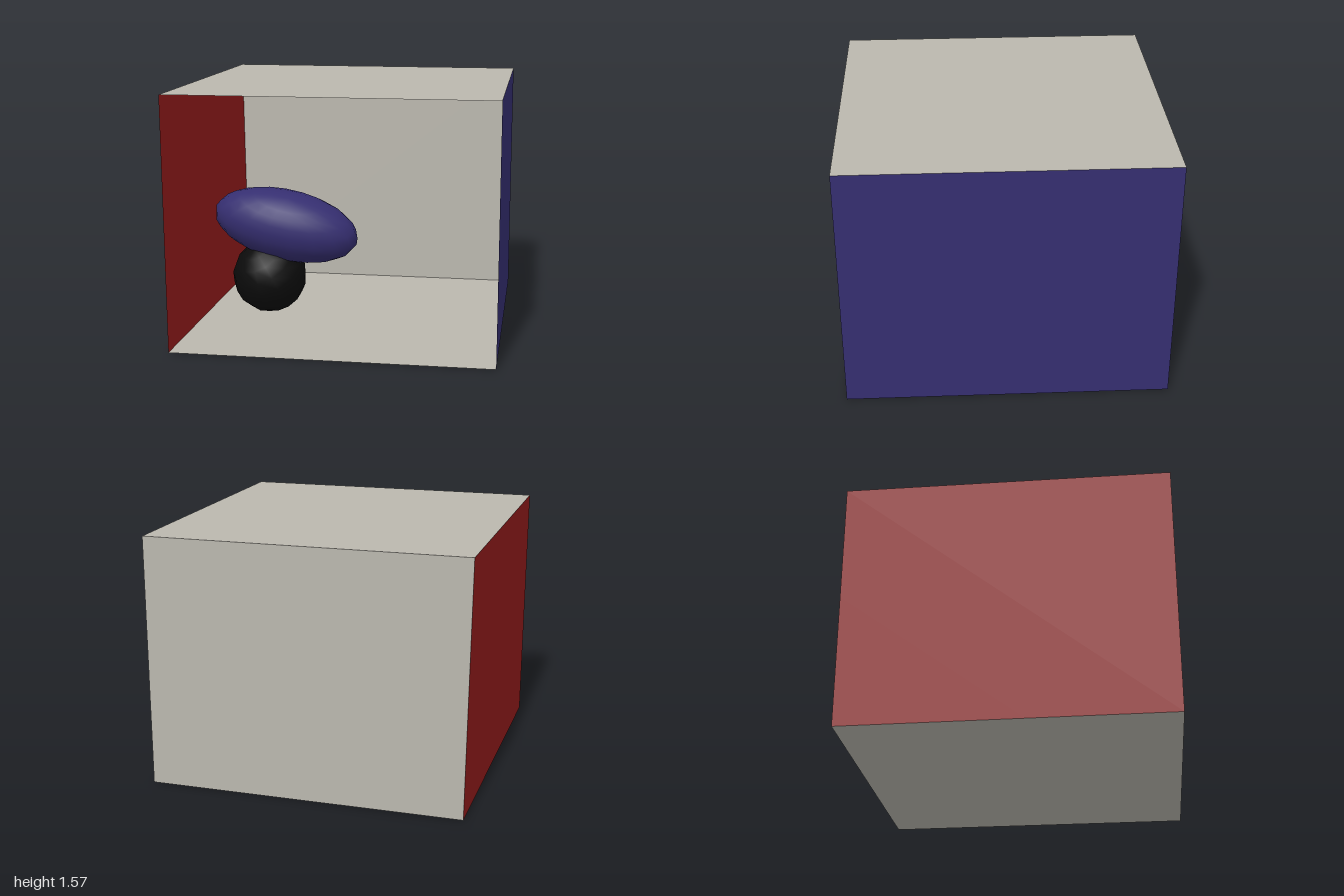
import * as THREE from 'three';

const material = (color, side = THREE.FrontSide) => new THREE.MeshStandardMaterial({ color, side });

// Flat wall from four corners in loop order
function wall(name, mat, corners) {
  const geometry = new THREE.BufferGeometry();
  geometry.setAttribute('position', new THREE.Float32BufferAttribute(corners.flat(), 3));
  geometry.setIndex([0, 1, 2, 0, 2, 3]);
  geometry.computeVertexNormals();
  const mesh = new THREE.Mesh(geometry, mat);
  mesh.name = name;
  return mesh;
}

// Coarse smooth-shaded ball, stretched and tilted
function ball(name, color, segments, radii, position, tilt) {
  const geometry = new THREE.SphereGeometry(1, segments, Math.round(segments * 0.7));
  geometry.rotateX(0.5);
  geometry.scale(...radii);
  const mesh = new THREE.Mesh(geometry, material(color));
  mesh.name = name;
  mesh.position.set(...position);
  mesh.rotation.z = tilt;
  return mesh;
}

export function createModel() {
  const model = new THREE.Group();
  model.name = 'openRoom';

  const stone = material(0xbab7ae, THREE.DoubleSide);
  const red = material(0x951b1b, THREE.DoubleSide);
  const blue = material(0x352e70, THREE.DoubleSide);

  // Room corners: the red wall leans slightly inward at its foot
  const w = 0.995, h = 1.57, d = 1;
  const floorFrontRight = [-0.983, 0, d], floorBackRight = [-0.972, 0, -d];
  const floorFrontLeft = [w, 0, d], floorBackLeft = [w, 0, -d];
  const topFrontRight = [-w, h, d], topBackRight = [-w, h, -d];
  const topFrontLeft = [w, h, d], topBackLeft = [w, h, -d];

  model.add(
    wall('floor', stone, [floorFrontRight, floorFrontLeft, floorBackLeft, floorBackRight]),
    wall('ceiling', stone, [topFrontRight, topBackRight, topBackLeft, topFrontLeft]),
    wall('backWall', stone, [floorBackRight, floorBackLeft, topBackLeft, topBackRight]),
    wall('rightWall', red, [floorFrontRight, floorBackRight, topBackRight, topFrontRight]),
    wall('leftWall', blue, [floorBackLeft, floorFrontLeft, topFrontLeft, topBackLeft])
  );

  // Black ball with a tilted ellipsoid resting on it
  model.add(
    ball('ball', 0x0b0b0b, 13, [0.247, 0.247, 0.247], [-0.57, 0.25, 0.03], 0.35),
    ball('ellipsoid', 0x352e70, 18, [0.49, 0.235, 0.24], [-0.45, 0.605, 0.05], -0.2)
  );
  return model;
}
